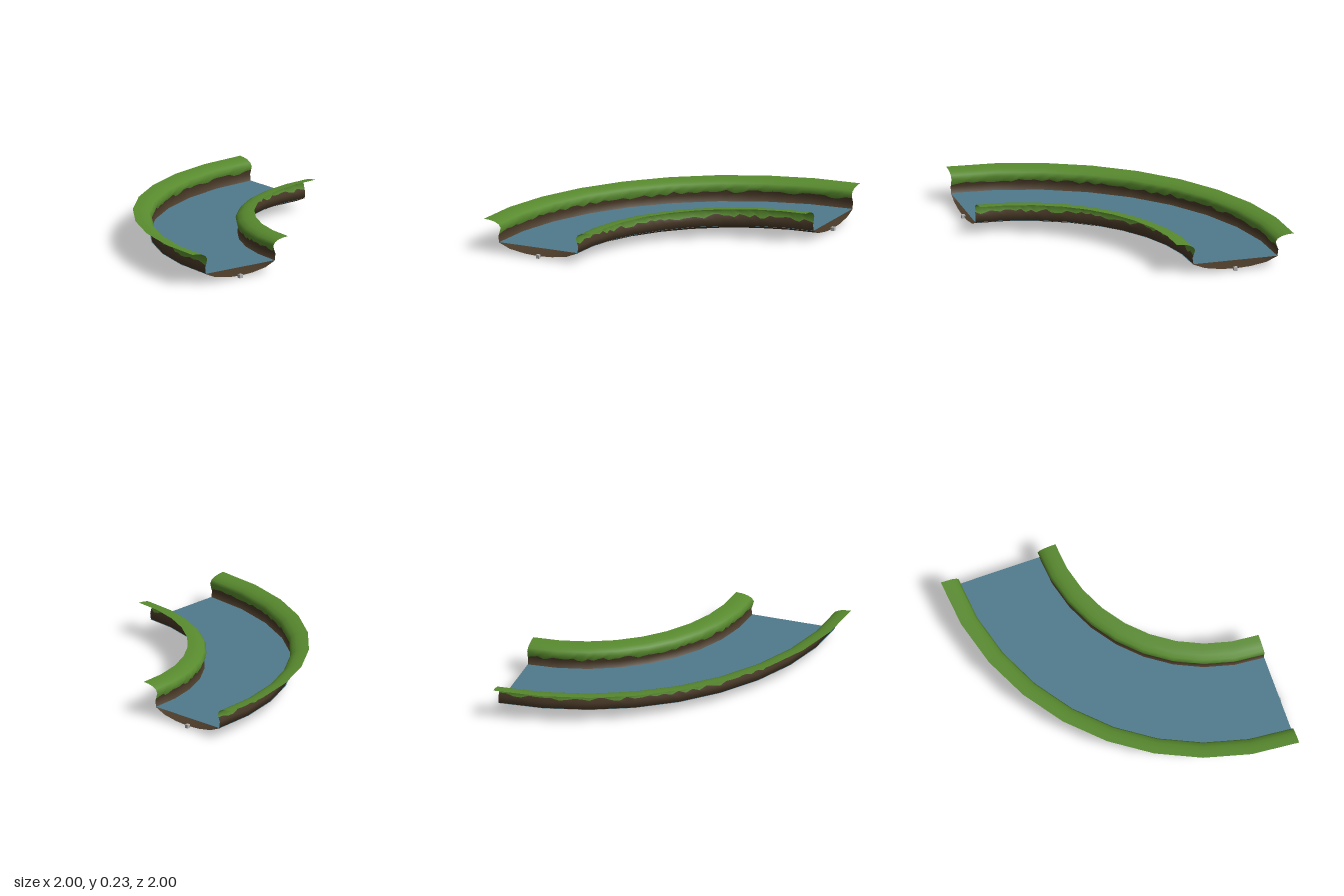
import * as THREE from 'three';

const CENTER = 0.985;     // bend centre in x and z
const RADIUS = 1.555;     // radius of the channel's middle line
const SEGMENTS = 9;       // straight pieces in the quarter turn
const SUB = 6;            // subdivisions of each piece, for the ragged grass edge

// Half of the channel section from lip to bed: [offset from middle, height].
// Entry JAG is the grass/earth boundary and moves along the bend.
const HALF = [
  [0.43, 0.235], [0.385, 0.232], [0.345, 0.224], [0.313, 0.208], [0.297, 0.185],
  [0.306, 0.15], [0.316, 0.125], [0.309, 0.075], [0.225, 0.04], [0.11, 0.021],
];
const JAG = 5;

function seeded(seed) {
  return () => {
    seed = (seed * 16807) % 2147483647;
    return seed / 2147483647;
  };
}

// Sections along the bend, each a list of {position, normal}
function makeSections() {
  const random = seeded(4217);
  const sections = [];
  for (let i = 0; i <= SEGMENTS * SUB; i++) {
    const k = Math.min(Math.floor(i / SUB), SEGMENTS - 1);
    const t = i / SUB - k;
    const step = Math.PI / 2 / SEGMENTS;
    const a0 = k * step, a1 = a0 + step;
    // point on the chord between two corners of the bend
    const dx = (1 - t) * Math.cos(a0) + t * Math.cos(a1);
    const dz = (1 - t) * Math.sin(a0) + t * Math.sin(a1);
    const angle = a0 + t * step;
    const side = (sign) => HALF.map(([o, y], j) => {
      const shift = j === JAG ? (random() - 0.5) * 0.03 : 0;
      return [sign * (o - shift * 0.27), y + shift];
    });
    const profile = [...side(1), [0, 0.015], ...side(-1).reverse()];
    sections.push(profile.map(([o, y], j) => {
      const p = profile[Math.max(j - 1, 0)];
      const q = profile[Math.min(j + 1, profile.length - 1)];
      const n = new THREE.Vector2(q[1] - p[1], p[0] - q[0]).normalize();
      const r = RADIUS + o;
      return {
        position: [CENTER - r * dx, y, CENTER - r * dz],
        normal: [-n.x * Math.cos(angle), n.y, -n.x * Math.sin(angle)],
      };
    }));
  }
  return sections;
}

// Surface through rows [from..to] of all sections, facing up
function sweep(sections, from, to) {
  const positions = [], normals = [], index = [];
  const w = to - from + 1;
  sections.forEach((section, i) => {
    for (let j = 0; j < w; j++) {
      positions.push(...section[from + j].position);
      normals.push(...section[from + j].normal);
      if (i > 0 && j > 0) {
        const d = i * w + j, c = d - 1, b = d - w, a = b - 1;
        index.push(a, b, c, b, d, c);
      }
    }
  });
  const geometry = new THREE.BufferGeometry();
  geometry.setAttribute('position', new THREE.Float32BufferAttribute(positions, 3));
  geometry.setAttribute('normal', new THREE.Float32BufferAttribute(normals, 3));
  // keep the winding on the same side as the normals
  const [a, b, c] = index.slice(0, 3).map((v) => new THREE.Vector3().fromArray(positions, v * 3));
  const face = b.sub(a).cross(c.sub(a));
  if (face.dot(new THREE.Vector3().fromArray(normals, 0)) < 0) index.reverse();
  geometry.setIndex(index);
  return geometry;
}

function material(name, color, side = THREE.DoubleSide) {
  const m = new THREE.MeshStandardMaterial({ color, side });
  m.name = name;
  return m;
}

export function createModel() {
  const group = new THREE.Group();
  group.name = 'riverBend';
  const grass = material('grass green', 0x588a2e);
  const earth = material('earth brown', 0x4a3a28);
  const blue = material('water blue', 0x4f7a8c);
  const grey = material('marker grey', 0xb4b4b4, THREE.FrontSide);

  const add = (name, geometry, mat) => {
    const mesh = new THREE.Mesh(geometry, mat);
    mesh.name = name;
    group.add(mesh);
    return mesh;
  };

  // Earth bed and grassy banks
  const sections = makeSections();
  const last = sections[0].length - 1;
  add('outerGrassBank', sweep(sections, 0, JAG), grass);
  add('riverBed', sweep(sections, JAG, last - JAG), earth);
  add('innerGrassBank', sweep(sections, last - JAG, last), grass);

  // Flat water sheet, just reaching through the banks
  const water = new THREE.RingGeometry(RADIUS - 0.315, RADIUS + 0.315, SEGMENTS, 1, Math.PI / 2, Math.PI / 2);
  water.rotateX(-Math.PI / 2);
  add('water', water, blue).position.set(CENTER, 0.078, CENTER);

  // Small connector cubes at the two ends
  const cube = new THREE.BoxGeometry(0.026, 0.026, 0.026);
  add('frontConnector', cube, grey).position.set(CENTER - RADIUS, 0.013, CENTER);
  add('sideConnector', cube, grey).position.set(CENTER, 0.013, CENTER - RADIUS);

  return group;
}
